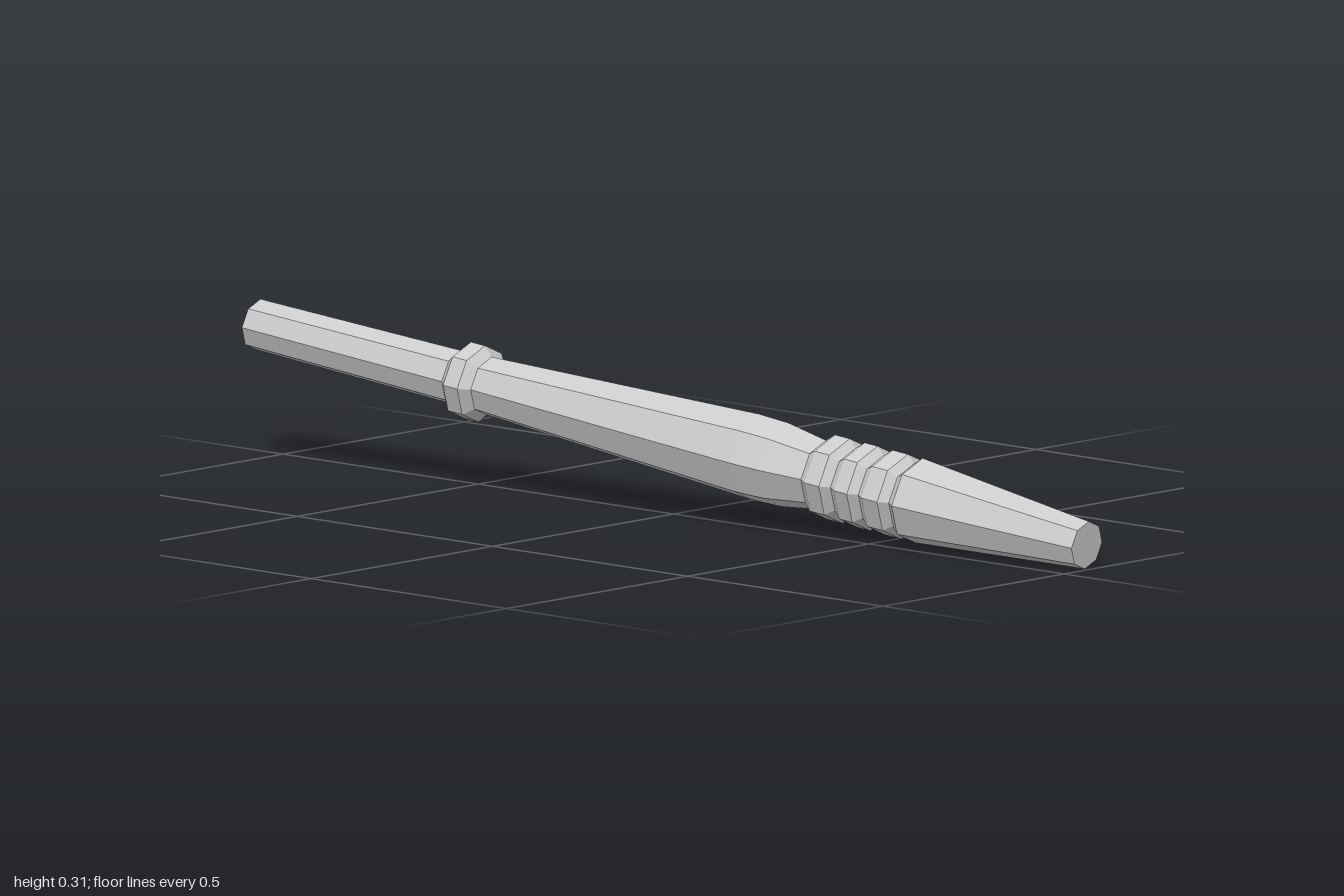
import * as THREE from 'three';

const SIDES = 8;

export function createModel() {
  const group = new THREE.Group();
  group.name = 'turnedHandle';
  const material = new THREE.MeshStandardMaterial({ color: 0xcccccc, flatShading: true });

  // Axis runs from the raised back end to the low front end
  const back = new THREE.Vector3(-0.074, 0.258, -0.995);
  const front = new THREE.Vector3(0.068, 0.047, 0.995);
  const axis = front.clone().sub(back);
  const stretch = axis.length() / (front.z - back.z);
  axis.normalize();

  // Tilted frame: local y follows the axis, local z points up
  const shaft = new THREE.Group();
  shaft.name = 'shaft';
  const side = new THREE.Vector3().crossVectors(axis, new THREE.Vector3(0, 1, 0)).normalize();
  const up = new THREE.Vector3().crossVectors(side, axis);
  shaft.quaternion.setFromRotationMatrix(new THREE.Matrix4().makeBasis(side, axis, up));
  shaft.position.copy(back).add(front).multiplyScalar(0.5);
  group.add(shaft);

  // Eight-sided turned part; profile is [radius, position], back to front
  function turned(name, profile) {
    const points = profile.map(([r, p]) => new THREE.Vector2(r, p * stretch));
    const mesh = new THREE.Mesh(new THREE.LatheGeometry(points, SIDES), material);
    mesh.name = name;
    shaft.add(mesh);
  }

  // Rear grip with closed end
  turned('rearGrip', [[0, -0.995], [0.049, -0.995], [0.053, -0.512]]);

  // Bevelled collar
  turned('collar', [[0.053, -0.512], [0.074, -0.492], [0.074, -0.458], [0.056, -0.44]]);

  // Long swelling body, narrowing to a neck
  turned('body', [[0.056, -0.44], [0.083, 0.2], [0.081, 0.27], [0.067, 0.362]]);

  // Three bevelled rings
  const grooves = [0.362, 0.433, 0.5, 0.573];
  for (let i = 0; i < 3; i++) {
    const a = grooves[i], b = grooves[i + 1];
    turned('ring' + (i + 1), [[0.067, a], [0.082, a + 0.02], [0.082, b - 0.016], [0.067, b]]);
  }

  // Tapered tip with closed end
  turned('tip', [[0.067, 0.573], [0.082, 0.592], [0.046, 0.995], [0, 0.995]]);

  return group;
}
